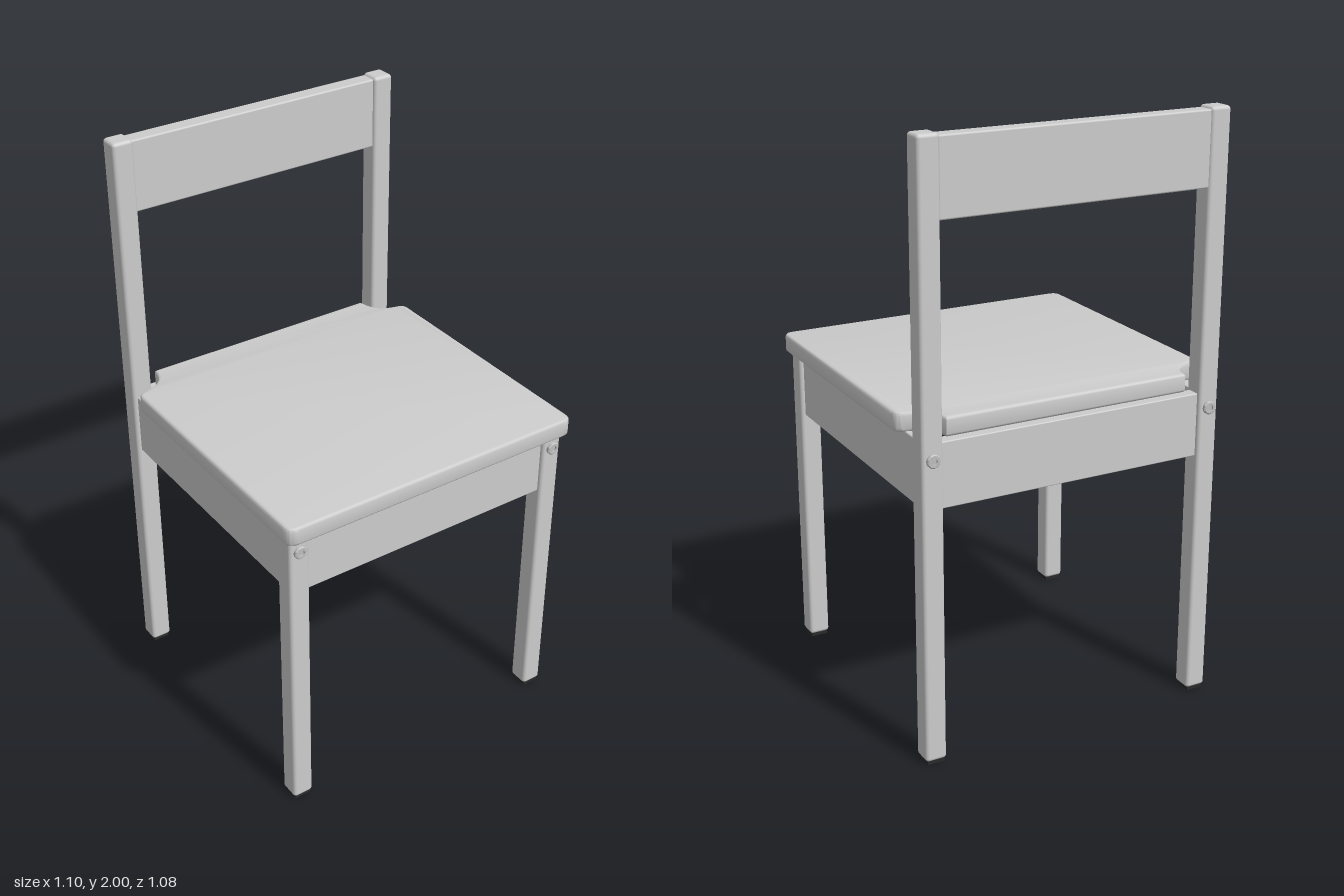
import * as THREE from 'three';
import { toCreasedNormals } from 'three/addons/utils/BufferGeometryUtils.js';
import { RoundedBoxGeometry } from 'three/addons/geometries/RoundedBoxGeometry.js';

const paint = new THREE.MeshStandardMaterial({ color: 0xcccccc });
paint.name = 'pale grey paint';
const metal = new THREE.MeshStandardMaterial({ color: 0xbebebe });
metal.name = 'bolt metal';
const rubber = new THREE.MeshStandardMaterial({ color: 0x2a2a2a });
rubber.name = 'dark rubber';

const LEG_X = 0.494, LEG_W = 0.072, RAIL_Y = [0.865, 1.08];
const FRONT_Z = 0.475, BACK_Z = -0.495;

// Soft-edged box given by its limits on each axis
function bar(name, [x0, x1], [y0, y1], [z0, z1], radius) {
  const geometry = new RoundedBoxGeometry(x1 - x0, y1 - y0, z1 - z0, 3, radius);
  const mesh = new THREE.Mesh(geometry, paint);
  mesh.position.set((x0 + x1) / 2, (y0 + y1) / 2, (z0 + z1) / 2);
  mesh.name = name;
  return mesh;
}

// Leg with a rubber pad under it
function leg(name, x, z, top) {
  const group = new THREE.Group();
  group.name = name;
  const h = LEG_W / 2;
  group.add(bar(name + 'Post', [x - h, x + h], [0.012, top], [z - h, z + h], 0.012));
  const pad = new THREE.Mesh(new THREE.BoxGeometry(0.058, 0.018, 0.058), rubber);
  pad.position.set(x, 0.009, z);
  pad.name = name + 'Pad';
  group.add(pad);
  return group;
}

// Bolt head with a socket, facing +z or -z
function bolt(name, x, z, facing) {
  const profile = [[0, 0.004], [0.011, 0.004], [0.011, 0.011], [0.019, 0.011], [0.022, 0.008], [0.022, -0.004]]
    .map(([r, y]) => new THREE.Vector2(r, y)).reverse();
  const geometry = toCreasedNormals(new THREE.LatheGeometry(profile, 20), 0.5);
  geometry.rotateX(facing * Math.PI / 2);
  const mesh = new THREE.Mesh(geometry, metal);
  mesh.position.set(x, 1.032, z);
  mesh.name = name;
  return mesh;
}

// Seat board with rounded corners and scooped notches around the back posts
function seat() {
  const W = 0.548, F = -0.54, B = 0.49, r = 0.035;
  const s = new THREE.Shape();
  s.moveTo(-W + r, F);
  s.lineTo(W - r, F);
  s.quadraticCurveTo(W, F, W, F + r);
  s.lineTo(W, 0.36);
  s.quadraticCurveTo(W, 0.385, 0.525, 0.391);
  s.bezierCurveTo(0.47, 0.4, 0.44, 0.425, 0.432, 0.472);
  s.lineTo(0.428, B);
  s.lineTo(-0.428, B);
  s.lineTo(-0.432, 0.472);
  s.bezierCurveTo(-0.44, 0.425, -0.47, 0.4, -0.525, 0.391);
  s.quadraticCurveTo(-W, 0.385, -W, 0.36);
  s.lineTo(-W, F + r);
  s.quadraticCurveTo(-W, F, -W + r, F);
  const b = 0.01;
  const geometry = new THREE.ExtrudeGeometry(s, {
    depth: 0.064 - 2 * b, bevelThickness: b, bevelSize: b, bevelOffset: -b, bevelSegments: 3, curveSegments: 10,
  });
  geometry.rotateX(-Math.PI / 2);
  const mesh = new THREE.Mesh(toCreasedNormals(geometry, 0.6), paint);
  mesh.position.y = 1.08 + b;
  mesh.name = 'seat';
  return mesh;
}

export function createModel() {
  const chair = new THREE.Group();
  chair.name = 'chair';
  const inner = LEG_X - LEG_W / 2 + 0.004;
  const half = LEG_W / 2;

  // Legs, side rails and bolts, mirrored
  for (const [side, sx] of [['left', 1], ['right', -1]]) {
    const x = sx * LEG_X;
    chair.add(leg(side + 'FrontLeg', x, FRONT_Z, 1.08));
    chair.add(leg(side + 'BackLeg', x, BACK_Z, 2));
    const rx = sx > 0 ? [0.47, 0.515] : [-0.515, -0.47];
    chair.add(bar(side + 'SideRail', rx, RAIL_Y, [BACK_Z + half - 0.004, FRONT_Z - half + 0.004], 0.004));
    chair.add(bolt(side + 'FrontBolt', x, FRONT_Z + half, 1));
    chair.add(bolt(side + 'BackBolt', x, BACK_Z - half, -1));
  }

  // Cross rails, backrest and seat
  chair.add(bar('frontRail', [-inner, inner], RAIL_Y, [0.452, 0.497], 0.004));
  chair.add(bar('backRail', [-inner, inner], RAIL_Y, [-0.517, -0.472], 0.004));
  chair.add(bar('backrest', [-inner, inner], [1.75, 1.993], [-0.526, -0.47], 0.006));
  chair.add(seat());
  return chair;
}
